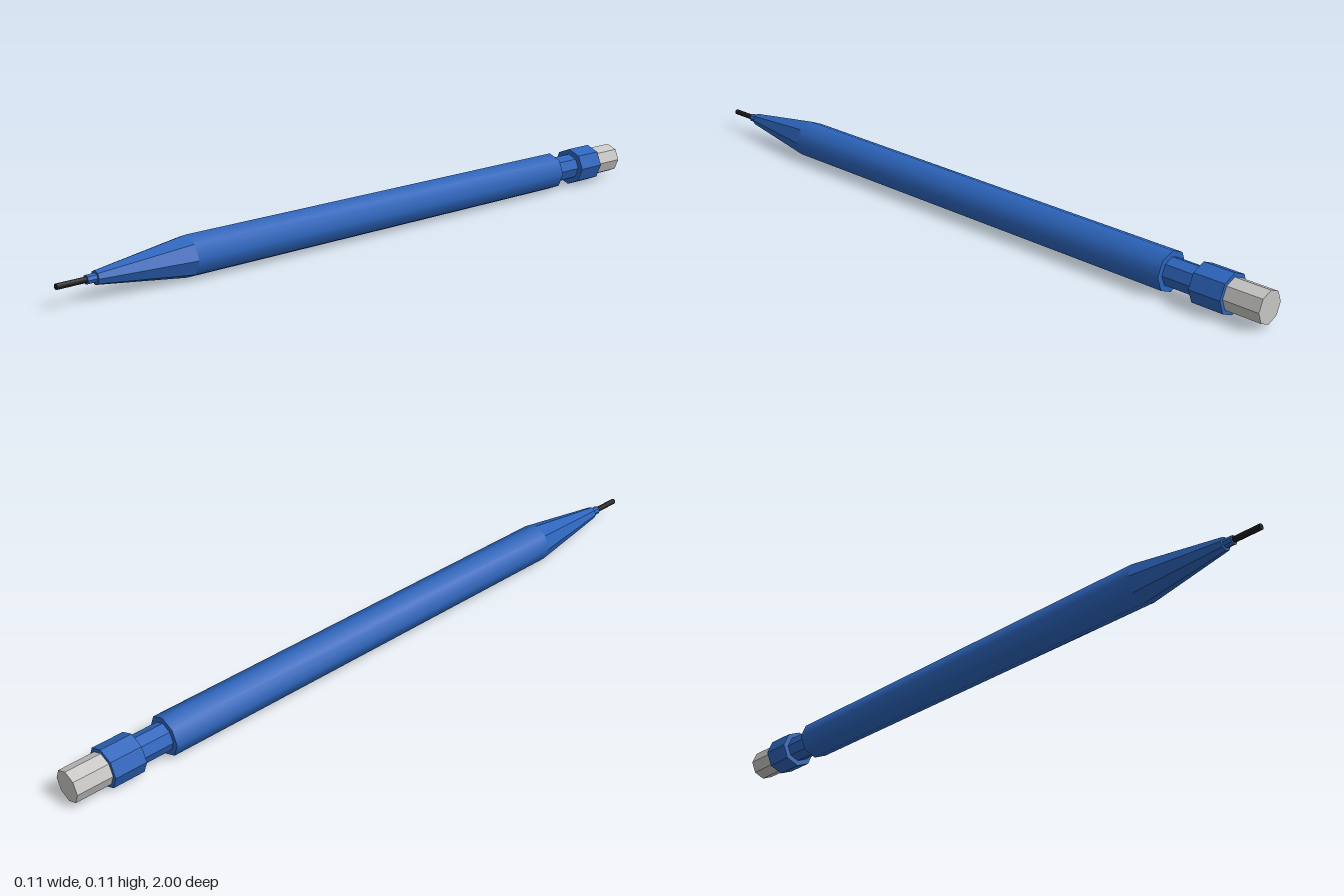
import * as THREE from 'three';

export function createModel() {
  const model = new THREE.Group();
  model.name = 'mechanicalPencil';

  const material = (name, color, flatShading) => {
    const m = new THREE.MeshStandardMaterial({ color, flatShading });
    m.name = name;
    return m;
  };
  const blue = material('blue plastic', 0x2c64bb, false);
  const white = material('eraser white', 0xc6c5c3, false);
  const black = material('lead black', 0x1a1a1a, false);

  // Eight-sided section along z, from the back (z0, r0) to the front (z1, r1)
  function section(name, mat, z0, r0, z1, r1, smooth = false) {
    let geometry = new THREE.CylinderGeometry(r1, r0, z1 - z0, 8);
    geometry.rotateX(Math.PI / 2);
    if (!smooth) {
      geometry = geometry.toNonIndexed();
      geometry.computeVertexNormals();
    }
    const mesh = new THREE.Mesh(geometry, mat);
    mesh.name = name;
    mesh.position.set(0, 0.0555, (z0 + z1) / 2);
    model.add(mesh);
  }

  // Back end: eraser, collar and narrow neck
  section('eraser', white, -1, 0.044, -0.9, 0.044);
  section('eraserCollar', blue, -0.9, 0.055, -0.81, 0.055);
  section('neck', blue, -0.81, 0.039, -0.72, 0.039);

  // Smoothly shaded barrel
  section('barrel', blue, -0.72, 0.055, 0.635, 0.055, true);

  // Front end: faceted cone, small nozzle and lead
  section('cone', blue, 0.635, 0.055, 0.895, 0.018);
  section('nozzle', blue, 0.895, 0.012, 0.92, 0.012);
  section('lead', black, 0.92, 0.008, 1, 0.008, true);

  return model;
}
